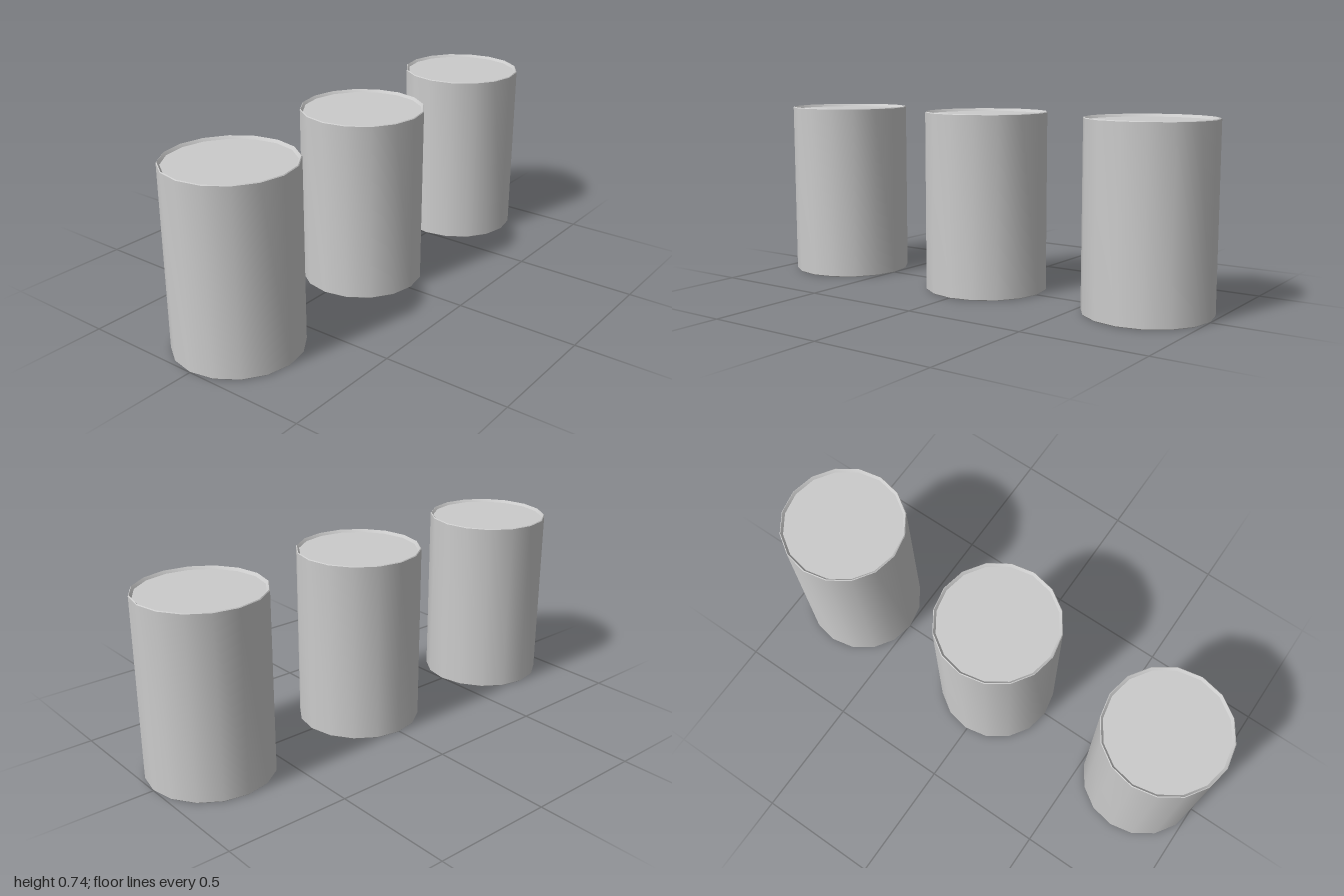
import * as THREE from 'three';
import { toCreasedNormals } from 'three/addons/utils/BufferGeometryUtils.js';

const HEIGHT = 0.735, RADIUS = 0.252, SIDES = 16;
const RECESS = 0.011, INNER = 0.24, BEVEL = 0.003;

// Closed can: recessed bottom, thin bevelled rims, straight wall, recessed lid
function canGeometry() {
  const half = [
    [0, RECESS], [INNER, RECESS], [RADIUS - BEVEL, 0], [RADIUS, BEVEL],
  ];
  const bottom = half.map(([r, y]) => new THREE.Vector2(r, y));
  const top = half.map(([r, y]) => new THREE.Vector2(r, HEIGHT - y)).reverse();
  return toCreasedNormals(new THREE.LatheGeometry([...bottom, ...top], SIDES), 0.6);
}

export function createModel() {
  const group = new THREE.Group();
  group.name = 'cans';
  const material = new THREE.MeshStandardMaterial({ color: 0xcccccc });
  const geometry = canGeometry();

  // Three cans in a row
  const places = { rightCan: -0.748, middleCan: 0.007, leftCan: 0.748 };
  for (const [name, x] of Object.entries(places)) {
    const can = new THREE.Mesh(geometry, material);
    can.name = name;
    can.position.x = x;
    group.add(can);
  }
  return group;
}
